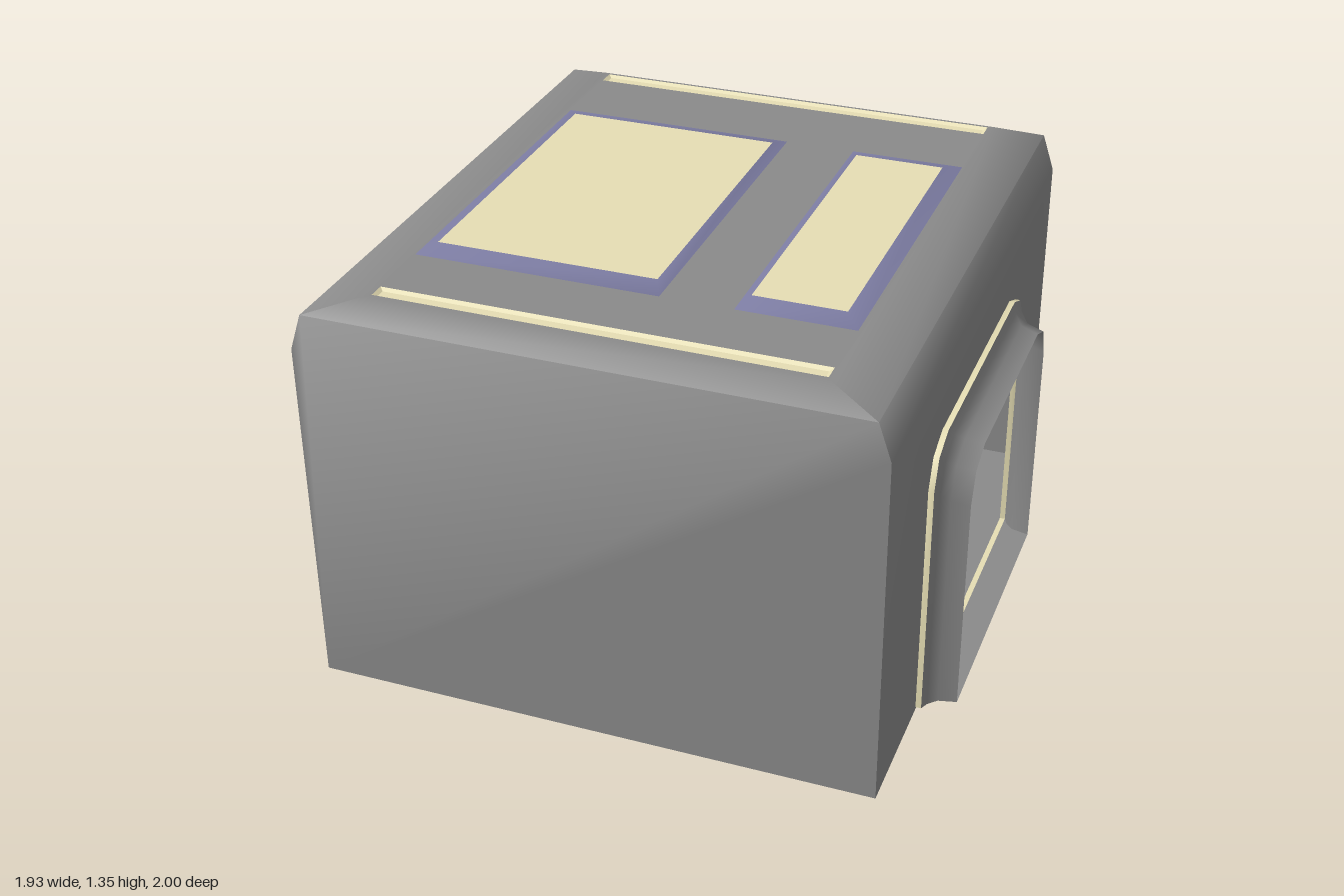
import * as THREE from 'three';
import { mergeGeometries, toCreasedNormals } from 'three/addons/utils/BufferGeometryUtils.js';

const material = (color) => new THREE.MeshStandardMaterial({ color, side: THREE.DoubleSide });
const grey = material(0x8a8a8a);
const cream = material(0xe6deb4);
const blue = material(0x7c7ca2);

// Convex polygon as a triangle fan, corners counter-clockwise from outside
function poly(...p) {
  const pos = [];
  for (let i = 1; i < p.length - 1; i++) pos.push(...p[0], ...p[i], ...p[i + 1]);
  const g = new THREE.BufferGeometry();
  g.setAttribute('position', new THREE.Float32BufferAttribute(pos, 3));
  return g;
}

// Flat sheet in the xy plane with holes cut out
function sheet(outline, holes) {
  const v = (list) => list.map(([x, y]) => new THREE.Vector2(x, y));
  const shape = new THREE.Shape(v(outline));
  holes.forEach((h) => shape.holes.push(new THREE.Path(v(h))));
  const g = new THREE.ShapeGeometry(shape).toNonIndexed();
  g.deleteAttribute('normal');
  g.deleteAttribute('uv');
  return g;
}

function mesh(name, parts, mat, crease = 1.12) {
  const m = new THREE.Mesh(toCreasedNormals(mergeGeometries(parts), crease), mat);
  m.name = name;
  return m;
}

// Rectangles on the roof as [x0, x1, z0, z1]
const corners = ([x0, x1, z0, z1], y) => [[x0, y, z1], [x1, y, z1], [x1, y, z0], [x0, y, z0]];
const flat = (r) => corners(r, 0).map(([x, , z]) => [x, -z]);
const ring = (outer, yo, inner, yi) => {
  const a = corners(outer, yo), b = corners(inner, yi);
  return a.map((p, i) => poly(p, a[(i + 1) % 4], b[(i + 1) % 4], b[i]));
};

const ROOF = 1.334;
const roof = [-0.77, 0.65, -0.91, 0.91];
const skylights = [
  { outer: [-0.75, 0.035, -0.555, 0.615], inner: [-0.705, 0.005, -0.49, 0.55] },
  { outer: [0.265, 0.635, -0.555, 0.615], inner: [0.295, 0.585, -0.49, 0.55] },
];
const strips = [[-0.75, 0.635, -0.9, -0.84], [-0.75, 0.635, 0.835, 0.89]];

// Doorway outline (half width, height) at the wall and at the mouth
const SILL = 0.008;
const wide = [[0.56, SILL], [0.56, 0.81], [0.52, 0.905], [0.425, 0.945]];
const narrow = [[0.492, SILL], [0.492, 0.74], [0.452, 0.84], [0.355, 0.88]];
function doorLoop(t) {
  const half = wide.map(([z, y], i) => [
    z + (narrow[i][0] - z) * t, y + (narrow[i][1] - y) * t]);
  return [...half, ...half.slice().reverse().map(([z, y]) => [-z, y])];
}

// Skin swept through the doorway outlines at stations [x, t]
function doorSweep(stations) {
  const parts = [];
  for (let s = 0; s < stations.length - 1; s++) {
    const [[x0, t0], [x1, t1]] = [stations[s], stations[s + 1]];
    const a = doorLoop(t0).map(([z, y]) => [x0, y, z]);
    const b = doorLoop(t1).map(([z, y]) => [x1, y, z]);
    a.forEach((p, i) => {
      const n = (i + 1) % a.length; // the last step closes the sill
      parts.push(poly(p, b[i], b[n], a[n]));
    });
  }
  return parts;
}

export function createModel() {
  const group = new THREE.Group();

  // Hollow body: end walls, side walls, chamfers and sloped roof edge
  const profile = [[-0.97, 0], [0.85, 0], [0.85, 1.17], [0.81, 1.29], [-0.93, 1.29], [-0.97, 1.17]];
  const front = profile.map(([x, y]) => [x, y, 1]);
  const back = profile.map(([x, y]) => [x, y, -1]);
  const body = [poly(...front), poly(...back.slice().reverse())];
  for (const i of [0, 2, 4, 5]) {
    const n = (i + 1) % 6;
    body.push(poly(front[i], back[i], back[n], front[n]));
  }
  body.push(...ring([-0.93, 0.81, -1, 1], 1.29, roof, ROOF));

  // Roof panel with openings for skylights and strips
  const openings = [...skylights.map((s) => s.outer), ...strips];
  body.push(sheet(flat(roof), openings.map(flat)).rotateX(-Math.PI / 2).translate(0, ROOF, 0));

  // Entrance wall with the doorway cut out
  const wall = sheet([[-1, 0], [1, 0], [1, 1.17], [-1, 1.17]], [doorLoop(0)]);
  body.push(wall.rotateY(Math.PI / 2).translate(0.85, 0, 0));
  group.add(mesh('body', body, grey));

  // Skylights: raised sloping frame and flat pane
  for (const { outer, inner } of skylights) {
    group.add(mesh('skylightFrame', ring(outer, ROOF, inner, 1.353), blue));
    group.add(mesh('skylightPane', [poly(...corners(inner, 1.353))], cream));
  }

  // Shallow recessed light strips
  for (const r of strips) {
    const inner = [r[0] + 0.012, r[1] - 0.012, r[2] + 0.012, r[3] - 0.012];
    const parts = [...ring(r, ROOF, inner, 1.326), poly(...corners(inner, 1.326))];
    group.add(mesh('lightStrip', parts, cream, 0.3));
  }

  // Doorway: trim at the wall and flared frame
  group.add(mesh('doorTrim', doorSweep([[0.85, 0], [0.868, 0]]), cream));
  group.add(mesh('doorFrame',
    doorSweep([[0.868, 0], [0.88, 0.4], [0.907, 0.8], [0.965, 1]]), grey));
  return group;
}
